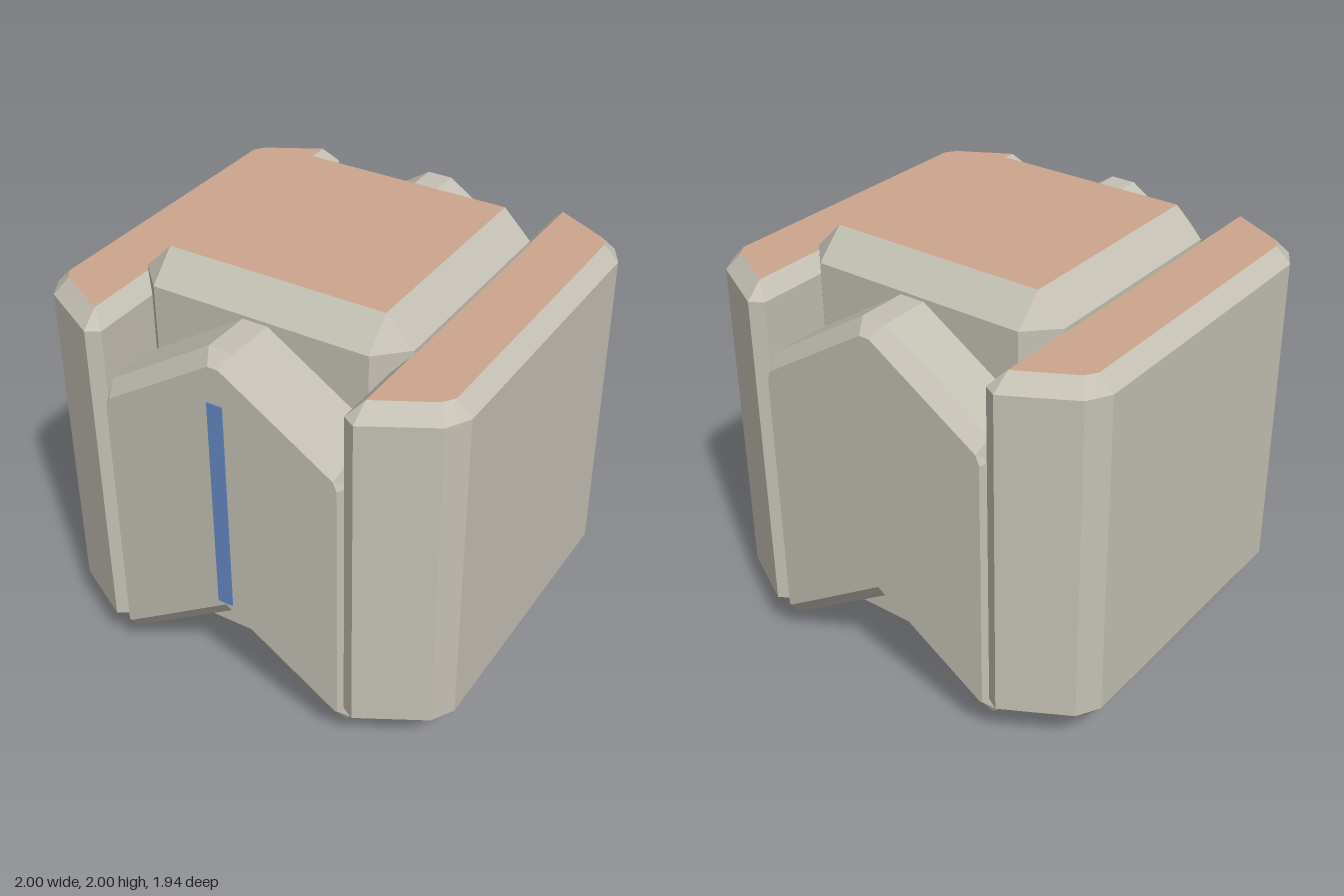
import * as THREE from 'three';

// Flat-shaded prism along z with bevelled ends: counter-clockwise outline, inset end outline.
// Group 0 is the sides and bevels, group 1 the two end faces.
function bevelledPrism(outer, inset, z0, z1, bevel) {
  const rings = [[inset, z0], [outer, z0 + bevel], [outer, z1 - bevel], [inset, z1]]
    .map(([pts, z]) => pts.map(([x, y]) => new THREE.Vector3(x, y, z)));
  const n = outer.length;
  const pos = [];
  const tri = (a, b, c) => {
    const area = b.clone().sub(a).cross(c.clone().sub(a)).length();
    if (area > 1e-7) pos.push(...a.toArray(), ...b.toArray(), ...c.toArray());
  };
  for (let k = 0; k < 3; k++) {
    for (let i = 0; i < n; i++) {
      const j = (i + 1) % n;
      tri(rings[k][i], rings[k][j], rings[k + 1][j]);
      tri(rings[k][i], rings[k + 1][j], rings[k + 1][i]);
    }
  }
  const sideCount = pos.length / 3;
  const contour = inset.map(([x, y]) => new THREE.Vector2(x, y));
  for (const [a, b, c] of THREE.ShapeUtils.triangulateShape(contour, [])) {
    tri(rings[3][a], rings[3][b], rings[3][c]);
    tri(rings[0][a], rings[0][c], rings[0][b]);
  }
  const geo = new THREE.BufferGeometry();
  geo.setAttribute('position', new THREE.Float32BufferAttribute(pos, 3));
  geo.addGroup(0, sideCount, 0);
  geo.addGroup(sideCount, pos.length / 3 - sideCount, 1);
  geo.computeVertexNormals();
  return geo;
}

// Right half of an outline, from bottom to top, completed by its mirror image
function mirrorX(half) {
  const left = half.filter(([x]) => x > 0).map(([x, y]) => [-x, y]).reverse();
  return [...half, ...left];
}

// Lower half of an outline (negative y), completed by its mirror image
function mirrorY(half) {
  return [...half, ...half.map(([x, y]) => [x, -y]).reverse()];
}

export function createModel() {
  const model = new THREE.Group();
  const make = (name, color) => {
    const m = new THREE.MeshStandardMaterial({ color, flatShading: true });
    m.name = name;
    return m;
  };
  const grey = make('warm grey', 0xc4c0b4);
  const copper = make('pale copper', 0xcda58d);
  const blue = make('blue', 0x6688c4);

  const add = (name, geo, material) => {
    const mesh = new THREE.Mesh(geo, material);
    mesh.name = name;
    model.add(mesh);
    return mesh;
  };

  // Core block with every edge bevelled
  const f = 0.52, w = 0.65;
  const core = bevelledPrism(
    mirrorX([[f, -w], [w, -f], [w, f], [f, w]]),
    mirrorX([[f, -f], [f, -f], [f, f], [f, f]]),
    0, 2, 0.13);
  core.rotateX(-Math.PI / 2);
  add('core', core, [grey, copper]);

  // Side slabs, the second turned half round
  const slab = bevelledPrism(
    mirrorY([[0.58, -0.935], [0.64, -0.97], [0.94, -0.805], [1, -0.7]]),
    mirrorY([[0.645, -0.885], [0.646, -0.885], [0.895, -0.75], [0.93, -0.7]]),
    0.16, 1.85, 0.07);
  slab.rotateX(-Math.PI / 2);
  add('leftSlab', slab, [grey, copper]);
  add('rightSlab', slab, [grey, copper]).rotation.y = Math.PI;

  // Chevron plates on front and back
  const chevron = bevelledPrism(
    mirrorX([[0, 0.5], [0.575, 0.13], [0.596, 0.15], [0.596, 1.433], [0.572, 1.535], [0.06, 1.867]]),
    mirrorX([[0, 0.583], [0.555, 0.222], [0.567, 0.225], [0.567, 1.433], [0.55, 1.476], [0.025, 1.815]]),
    0.6, 0.967, 0.067);
  add('frontPlate', chevron, [grey, grey]);
  add('backPlate', chevron, [grey, grey]).rotation.y = Math.PI;

  // Light strip on the front plate
  add('frontStrip', new THREE.BoxGeometry(0.074, 1.05, 0.008), blue).position.set(0, 1.12, 0.968);

  return model;
}
